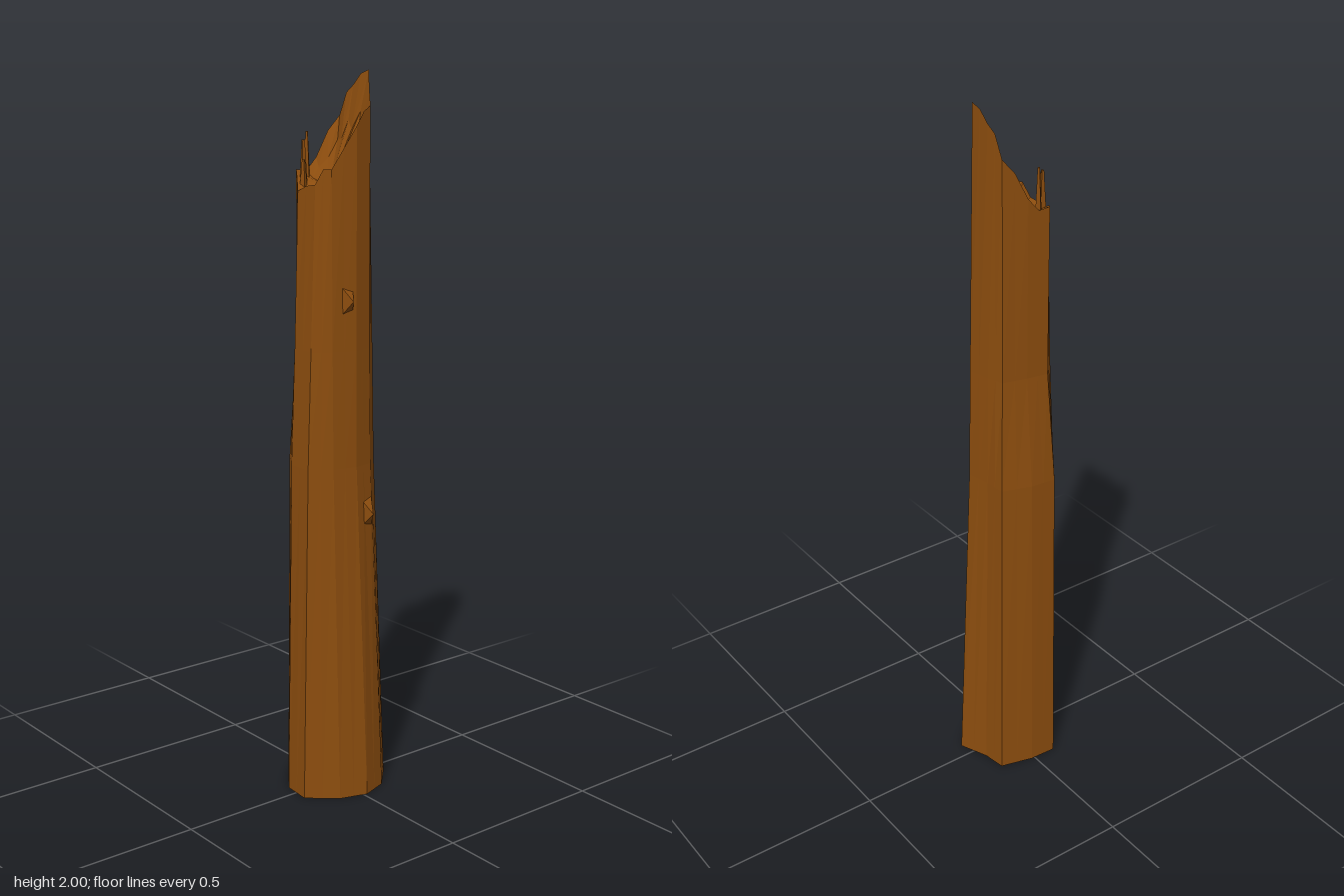
import * as THREE from 'three';

// Columns round the trunk, counterclockwise from the front:
// foot x, foot z, rim x, rim z, rim height, taper done at y = 0.95 and 1.27
const columns = [
  [0.042, 0.145, 0.035, 0.095, 1.71, 0.4, 0.65],
  [0.107, 0.068, 0.07, 0.068, 1.75, 0.8, 0.9],
  [0.132, -0.01, 0.09, 0, 1.86, 0.95, 1],
  [0.107, -0.085, 0.078, -0.055, 1.91, 0.9, 1],
  [0.042, -0.147, 0.028, -0.09, 2, 0.65, 0.75],
  [-0.04, -0.113, -0.03, -0.085, 1.96, 0.6, 0.8],
  [-0.105, -0.103, -0.075, -0.075, 1.88, 0.4, 0.9],
  [-0.13, -0.01, -0.095, -0.01, 1.77, 0.3, 1],
  [-0.134, 0.068, -0.105, 0.05, 1.74, 0.3, 1],
  [-0.04, 0.138, -0.03, 0.102, 1.69, 0.4, 0.7],
];
// Jagged height offset of the rim halfway between columns
const jag = [0.02, 0, 0.01, -0.01, 0.01, 0.02, 0.015, -0.02, 0.01, 0.005];

const lerp = THREE.MathUtils.lerp;

// Double a ring by adding the midpoint of every side
function withMidpoints(ring, offsets) {
  return ring.flatMap((p, i) => {
    const mid = p.clone().lerp(ring[(i + 1) % ring.length], 0.5);
    if (offsets) mid.y += offsets[i];
    return [p, mid];
  });
}

function geometryFrom(triangles) {
  const geometry = new THREE.BufferGeometry().setFromPoints(triangles);
  geometry.computeVertexNormals();
  return geometry;
}

// Strip of quads between two rings
function bridge(out, lower, upper) {
  lower.forEach((a, i) => {
    const j = (i + 1) % lower.length;
    out.push(a, lower[j], upper[j], a, upper[j], upper[i]);
  });
}

export function createModel() {
  const group = new THREE.Group();
  const wood = new THREE.MeshStandardMaterial({ color: 0x8c4d0e, flatShading: true });
  wood.name = 'brown wood';
  const add = (name, geometry) => {
    const mesh = new THREE.Mesh(geometry, wood);
    mesh.name = name;
    group.add(mesh);
    return mesh;
  };

  // Rings from the foot to the broken rim
  const level = (y, taper) => withMidpoints(columns.map((c) => {
    const t = taper(c);
    return new THREE.Vector3(lerp(c[0], c[2], t), y, lerp(c[1], c[3], t));
  }));
  const rim = withMidpoints(columns.map((c) => new THREE.Vector3(c[2], c[4], c[3])), jag);
  const rings = [level(0, () => 0), level(0.95, (c) => c[5]), level(1.27, (c) => c[6]), rim];

  // Bark with the closed foot
  const bark = [];
  for (let k = 0; k < 3; k++) bridge(bark, rings[k], rings[k + 1]);
  const foot = new THREE.Vector3();
  rings[0].forEach((a, i) => bark.push(rings[0][(i + 1) % rings[0].length], a, foot));
  add('trunk', geometryFrom(bark));

  // Hollowed, splintered break
  const heart = new THREE.Vector3(0, 1.7, 0.02);
  const inner = rim.map((p, i) => {
    const q = p.clone().lerp(heart, i % 2 ? 0.3 : 0.2);
    q.y = lerp(p.y, heart.y, i % 2 ? 0.5 : 0.35);
    return q;
  });
  const split = [];
  bridge(split, rim, inner);
  inner.forEach((a, i) => split.push(a, inner[(i + 1) % inner.length], heart));
  add('brokenTop', geometryFrom(split));

  // Pointed knots on the left side: y, z, height, width, tip x
  [[1.405, 0.022, 0.11, 0.055, 0.105], [0.815, -0.04, 0.13, 0.06, 0.117]].forEach(([y, z, h, w, tip]) => {
    const depth = tip - 0.065;
    const cone = new THREE.ConeGeometry(Math.SQRT1_2, 1, 4, 1, false, Math.PI / 4);
    cone.rotateZ(-Math.PI / 2);
    cone.scale(depth, h, w);
    add('knot', cone).position.set(tip - depth / 2, y, z);
  });

  // Upright splinters on the low side of the rim: x, z, top, radius
  [[-0.084, 0.03, 1.84, 0.013], [-0.06, 0.06, 1.82, 0.014], [-0.04, 0.075, 1.77, 0.014]].forEach(([x, z, top, r], i) => {
    const height = top - 1.66;
    const splinter = add('splinter', new THREE.CylinderGeometry(r * 0.3, r, height, 4));
    splinter.position.set(x, top - height / 2, z);
    splinter.rotation.y = i * 0.6;
  });

  return group;
}
